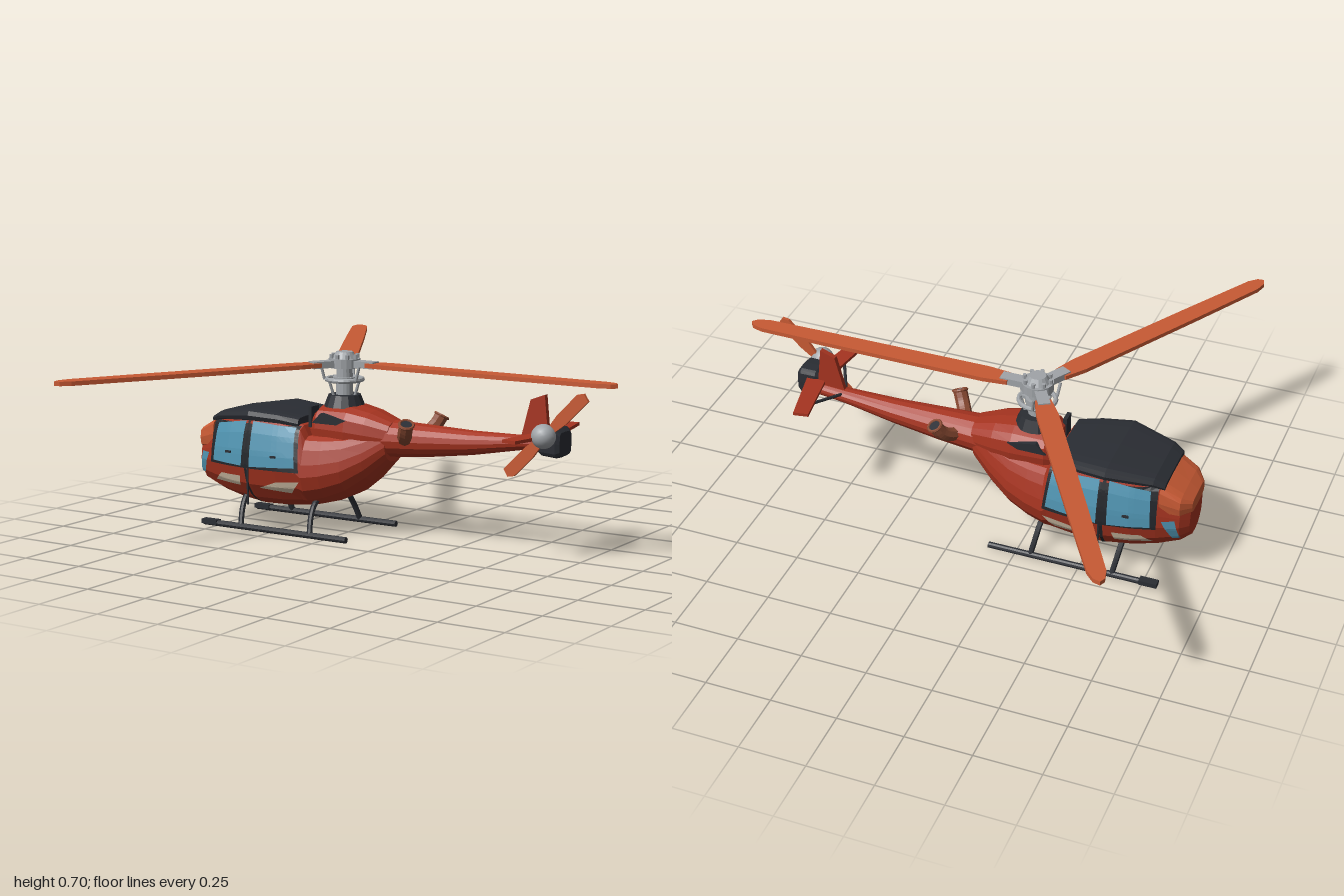
import * as THREE from 'three';

const mat = (color, extra = {}) => new THREE.MeshStandardMaterial({ color, flatShading: true, ...extra });
const RED = mat(0xa63420), ORANGE = mat(0xc85a34), BLACK = mat(0x2a2d33), GREY = mat(0xa0a4a8), PIPE = mat(0x8a4a32);
const GLASS = mat(0x4f93b0, { side: THREE.DoubleSide }), CREAM = mat(0xc9b8a0, { side: THREE.DoubleSide });
const FRAME = mat(0x22252a, { side: THREE.DoubleSide });

// Hull stations: x, bottom y, top y, half width
const HULL = [
  [-0.89, 0.17, 0.33, 0.08], [-0.86, 0.15, 0.37, 0.118], [-0.78, 0.122, 0.42, 0.155], [-0.69, 0.103, 0.44, 0.18],
  [-0.58, 0.09, 0.455, 0.198], [-0.46, 0.093, 0.445, 0.195], [-0.37, 0.103, 0.425, 0.185], [-0.35, 0.106, 0.385, 0.182],
  [-0.28, 0.125, 0.385, 0.168], [-0.2, 0.16, 0.39, 0.145], [-0.12, 0.22, 0.41, 0.112], [-0.04, 0.3, 0.44, 0.075],
];
// Egg-shaped half section: width factor, height factor
const EGG = [[0, 0], [0.4, 0.02], [0.72, 0.11], [0.91, 0.26], [1, 0.45], [0.97, 0.62], [0.89, 0.82], [0.8, 0.95], [0.66, 1]];

const eggRing = ([, b, t, w]) => [
  ...EGG.map(([u, v]) => [u * w, b + v * (t - b)]),
  ...EGG.slice(1).reverse().map(([u, v]) => [-u * w, b + v * (t - b)]),
];
const roundRing = (n, power = 1) => ([, b, t, w]) => Array.from({ length: n }, (_, i) => {
  const a = (i / n) * Math.PI * 2, f = (v) => Math.sign(v) * Math.abs(v) ** power;
  return [w * f(Math.sin(a)), (b + t) / 2 - ((t - b) / 2) * f(Math.cos(a))];
});

// Skin stations along x, closed at both ends
function loft(stations, ring) {
  const pos = [], idx = [], rings = stations.map(ring), n = rings[0].length, m = rings.length;
  rings.forEach((r, s) => r.forEach(([z, y]) => pos.push(stations[s][0], y, z)));
  for (const s of [0, m - 1]) pos.push(stations[s][0], (stations[s][1] + stations[s][2]) / 2, 0);
  for (let j = 0; j < n; j++) {
    const k = (j + 1) % n, e = (m - 1) * n;
    for (let s = 0; s < m - 1; s++) {
      const a = s * n + j, c = s * n + k;
      idx.push(a, a + n, c, a + n, c + n, c);
    }
    idx.push(m * n, j, k, m * n + 1, e + k, e + j);
  }
  return surface(pos, idx);
}

function surface(pos, idx) {
  const g = new THREE.BufferGeometry();
  g.setAttribute('position', new THREE.Float32BufferAttribute(pos, 3));
  g.setIndex(idx);
  g.computeVertexNormals();
  return g;
}

// Half width of the hull at a given x, y
function hullZ(x, y) {
  let i = 0;
  while (i < HULL.length - 2 && HULL[i + 1][0] < x) i++;
  const f = (x - HULL[i][0]) / (HULL[i + 1][0] - HULL[i][0]);
  const [b, t, w] = [1, 2, 3].map((k) => HULL[i][k] + f * (HULL[i + 1][k] - HULL[i][k]));
  const v = THREE.MathUtils.clamp((y - b) / (t - b), 0, 1);
  let j = 0;
  while (j < EGG.length - 2 && EGG[j + 1][1] < v) j++;
  return w * (EGG[j][0] + ((v - EGG[j][1]) / (EGG[j + 1][1] - EGG[j][1])) * (EGG[j + 1][0] - EGG[j][0]));
}

// Panel hugging the hull; corners in order: low front, low rear, high rear, high front
function panel([p, q, r, s], side, lift, n = 8) {
  const pos = [], idx = [], mix = THREE.MathUtils.lerp;
  for (let j = 0; j <= n; j++) for (let i = 0; i <= n; i++) {
    const u = i / n, v = j / n;
    const [x, y] = [0, 1].map((k) => mix(mix(p[k], q[k], u), mix(s[k], r[k], u), v));
    pos.push(x, y, side * (hullZ(x, y) + lift));
    if (i < n && j < n) {
      const a = j * (n + 1) + i, b = a + n + 1;
      idx.push(...(side > 0 ? [a, a + 1, b, a + 1, b + 1, b] : [a, b, a + 1, a + 1, b, b + 1]));
    }
  }
  return surface(pos, idx);
}

const tube = (pts, r, seg = 10) =>
  new THREE.TubeGeometry(new THREE.CatmullRomCurve3(pts.map((p) => new THREE.Vector3(...p))), seg, r, 8);

function plate(points, depth) {
  const g = new THREE.ExtrudeGeometry(new THREE.Shape(points.map((p) => new THREE.Vector2(...p))), { depth, bevelEnabled: false });
  return g.translate(0, 0, -depth / 2);
}

export function createModel() {
  const model = new THREE.Group();
  const add = (name, geo, material, x = 0, y = 0, z = 0, parent = model) => {
    const m = new THREE.Mesh(geo, material);
    m.name = name;
    m.position.set(x, y, z);
    parent.add(m);
    return m;
  };
  const cyl = (r1, r2, h, n = 16) => new THREE.CylinderGeometry(r1, r2, h, n);

  // Body
  add('fuselage', loft(HULL, eggRing), RED);
  add('tailBoom', loft([[-0.12, 0.29, 0.455, 0.085], [-0.04, 0.316, 0.457, 0.078], [0.1, 0.328, 0.453, 0.067],
    [0.3, 0.355, 0.447, 0.05], [0.5, 0.392, 0.449, 0.034], [0.62, 0.405, 0.455, 0.028]], roundRing(16)), RED);
  add('engineFairing', loft([[-0.36, 0.34, 0.475, 0.095], [-0.33, 0.33, 0.5, 0.112], [-0.2, 0.32, 0.503, 0.115],
    [-0.12, 0.32, 0.487, 0.1], [-0.03, 0.33, 0.455, 0.072]], roundRing(16, 0.75)), RED);
  add('noseCap', loft([[-0.895, 0.295, 0.352, 0.078], [-0.86, 0.29, 0.38, 0.124], [-0.785, 0.29, 0.425, 0.142]],
    roundRing(16, 0.5)), ORANGE);
  add('roof', loft([[-0.8, 0.4, 0.428, 0.122], [-0.76, 0.412, 0.45, 0.138], [-0.59, 0.425, 0.477, 0.182],
    [-0.47, 0.42, 0.468, 0.163], [-0.385, 0.405, 0.456, 0.142]], roundRing(16, 0.45)), BLACK);

  // Details on both flanks
  for (const s of [1, -1]) {
    const doors = [
      [[-0.765, 0.262], [-0.61, 0.258], [-0.605, 0.43], [-0.755, 0.405]],
      [[-0.57, 0.258], [-0.37, 0.268], [-0.385, 0.418], [-0.57, 0.43]],
    ];
    add('windowFrame', panel([[-0.785, 0.25], [-0.355, 0.25], [-0.372, 0.423], [-0.78, 0.415]], s, 0.006, 14), FRAME);
    doors.forEach((d) => {
      add('doorWindow', panel(d, s, 0.011), GLASS);
      const [hx, hy] = [(d[0][0] + d[1][0]) / 2 + 0.01, 0.305];
      add('doorHandle', new THREE.BoxGeometry(0.024, 0.008, 0.008), BLACK, hx, hy, s * (hullZ(hx, hy) + 0.014));
    });
    add('noseWindow', panel([[-0.865, 0.2], [-0.84, 0.2], [-0.8, 0.285], [-0.845, 0.285]], s, 0.007), GLASS);
    add('doorSeam', panel([[-0.595, 0.1], [-0.583, 0.1], [-0.583, 0.435], [-0.595, 0.435]], s, 0.009, 16), FRAME);
    add('frontStripe', panel([[-0.775, 0.18], [-0.635, 0.175], [-0.625, 0.215], [-0.73, 0.215]], s, 0.006), CREAM);
    add('rearStripe', panel([[-0.54, 0.175], [-0.4, 0.165], [-0.355, 0.215], [-0.46, 0.205]], s, 0.006), CREAM);
    add('sideWire', cyl(0.004, 0.004, 0.14, 6), BLACK, -0.58, 0.18, s * 0.2);

    // Engine intake and exhaust pipe
    add('intakeLip', new THREE.BoxGeometry(0.015, 0.08, 0.05), BLACK, -0.357, 0.455, s * 0.075);
    add('intakeGrille', plate([[-0.34, 0.435], [-0.23, 0.435], [-0.19, 0.455], [-0.3, 0.475]], 0.02), BLACK, 0, 0, s * 0.104);
    add('exhaustPipe', tube([[0.03, 0.395, s * 0.03], [0.05, 0.405, s * 0.075], [0.072, 0.43, s * 0.108], [0.09, 0.467, s * 0.127]], 0.027), PIPE);
    const mouth = add('exhaustMouth', new THREE.TorusGeometry(0.026, 0.006, 6, 14), PIPE, 0.09, 0.467, s * 0.127);
    mouth.lookAt(0.128, 0.57, s * 0.17);
    const hole = add('exhaustOpening', new THREE.CircleGeometry(0.025, 14), BLACK, 0.0905, 0.4685, s * 0.1275);
    hole.lookAt(0.128, 0.57, s * 0.17);

    // Landing skid with two curved legs
    add('skid', cyl(0.012, 0.012, 0.66, 10).rotateZ(Math.PI / 2), BLACK, -0.475, 0.014, s * 0.177);
    add('skidTip', new THREE.BoxGeometry(0.07, 0.018, 0.032), BLACK, -0.775, 0.018, s * 0.177);
    for (const x of [-0.65, -0.33])
      add('skidLeg', tube([[x, 0.14, s * 0.09], [x + 0.003, 0.115, s * 0.125], [x + 0.008, 0.075, s * 0.152], [x + 0.018, 0.015, s * 0.177]], 0.011), BLACK);

    // Stabiliser half and its strut
    add('stabilizer', plate([[0.59, 0], [0.555, s * 0.235], [0.612, s * 0.245], [0.665, 0]], 0.012).rotateX(Math.PI / 2), RED, 0, 0.465, 0);
    add('stabilizerStrut', tube([[0.515, 0.435, s * 0.02], [0.59, 0.462, s * 0.17]], 0.006, 1), BLACK);
  }

  // Tail fin and gearbox
  add('tailFin', plate([[0.505, 0.435], [0.62, 0.435], [0.603, 0.605], [0.545, 0.583]], 0.02), RED);
  add('tailGearbox', loft([[0.61, 0.41, 0.485, 0.045], [0.63, 0.395, 0.5, 0.055], [0.69, 0.39, 0.5, 0.055], [0.705, 0.4, 0.485, 0.045]],
    roundRing(16, 0.4)), BLACK, 0, 0, 0.04);

  // Tail rotor
  const tailRotor = new THREE.Group();
  tailRotor.name = 'tailRotor';
  tailRotor.position.set(0.66, 0.475, 0.105);
  tailRotor.rotation.z = Math.PI / 4;
  model.add(tailRotor);
  add('tailRotorHub', new THREE.SphereGeometry(0.045, 18, 12), mat(0xa0a4a8, { flatShading: false }), 0, 0, 0.018, tailRotor);
  for (const s of [1, -1])
    add('tailRotorBlade', plate([[0.03, -0.014], [0.09, -0.023], [0.215, -0.023], [0.222, 0.008], [0.2, 0.023], [0.09, 0.023], [0.03, 0.014]], 0.012),
      ORANGE, 0, 0, 0, tailRotor).rotation.z = s > 0 ? 0 : Math.PI;

  // Main rotor mast and hub
  const rotor = new THREE.Group();
  rotor.name = 'mainRotor';
  rotor.position.set(-0.265, 0, 0);
  model.add(rotor);
  const part = (name, geo, material, x, y, z) => add(name, geo, material, x, y, z, rotor);
  part('mastBase', cyl(0.062, 0.08, 0.045), BLACK, 0, 0.515, 0);
  part('mast', cyl(0.03, 0.034, 0.17), GREY, 0, 0.6, 0);
  part('swashplate', new THREE.TorusGeometry(0.068, 0.009, 8, 24).rotateX(Math.PI / 2), GREY, 0, 0.595, 0);
  part('swashplateDisc', cyl(0.045, 0.045, 0.02), GREY, 0, 0.595, 0);
  part('hub', cyl(0.06, 0.06, 0.035, 18), GREY, 0, 0.658, 0);
  part('hubCap', cyl(0.032, 0.048, 0.026), GREY, 0, 0.688, 0);
  for (let i = 0; i < 8; i++) {
    const a = (i * Math.PI) / 4;
    part('hubBolt', cyl(0.008, 0.008, 0.02, 6), GREY, 0.05 * Math.cos(a), 0.682, 0.05 * Math.sin(a));
  }

  // Three blades, each with grip and control links
  const blade = [[0.11, -0.03], [0.2, -0.04], [0.75, -0.037], [1.09, -0.032], [1.135, -0.02], [1.155, 0],
    [1.14, 0.02], [1.1, 0.032], [0.75, 0.037], [0.2, 0.04], [0.11, 0.03]];
  for (let i = 0; i < 3; i++) {
    const arm = new THREE.Group();
    arm.name = 'rotorArm';
    arm.rotation.y = (i * Math.PI * 2) / 3;
    rotor.add(arm);
    add('rotorBlade', plate(blade, 0.016).rotateX(-Math.PI / 2), ORANGE, 0, 0.657, 0, arm);
    add('bladeGrip', new THREE.BoxGeometry(0.1, 0.026, 0.045), GREY, 0.09, 0.657, 0, arm);
    add('pitchLink', tube([[0.07, 0.595, 0.03], [0.085, 0.65, 0.03]], 0.006, 1), GREY, 0, 0, 0, arm);
    add('lowerLink', tube([[0.045, 0.53, 0], [0.066, 0.595, 0]], 0.006, 1), GREY, 0, 0, 0, arm);
    add('swashplateSpoke', new THREE.BoxGeometry(0.07, 0.012, 0.014), GREY, 0.04, 0.595, 0, arm);
  }
  return model;
}
